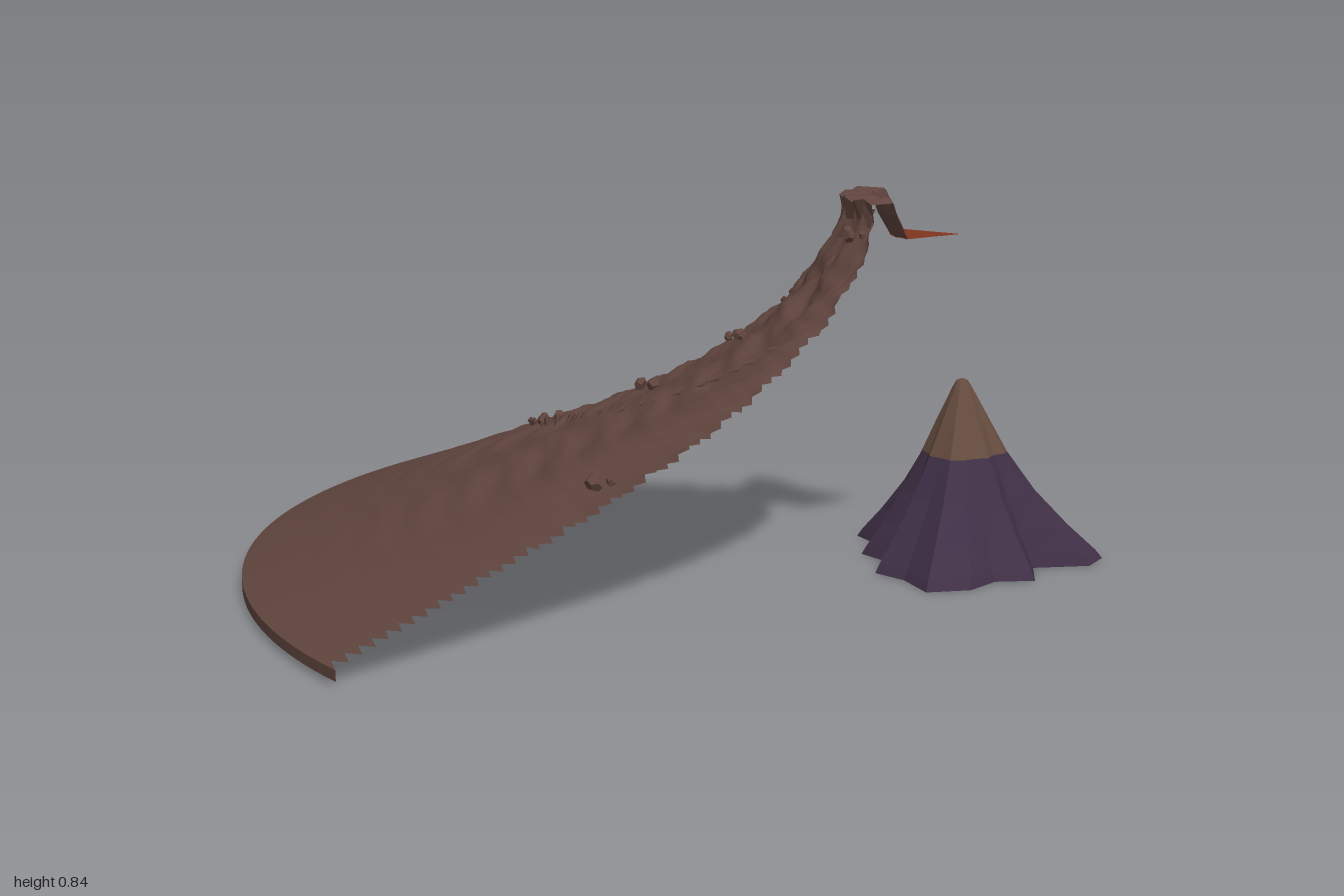
import * as THREE from 'three';

const CENTRE = 0.63, HALF = 0.648, TOOTH = 0.014;

const makeMat = (name, color) => {
  const m = new THREE.MeshStandardMaterial({ color, side: THREE.DoubleSide });
  m.name = name;
  return m;
};

// Grid surface from a rule fn(row, column) -> [x, y, z]
function surface(rows, cols, fn, flat = false) {
  const pos = [], idx = [];
  for (let i = 0; i <= rows; i++)
    for (let j = 0; j <= cols; j++) pos.push(...fn(i, j));
  for (let i = 0; i < rows; i++)
    for (let j = 0; j < cols; j++) {
      const a = i * (cols + 1) + j, b = a + cols + 1;
      idx.push(a, a + 1, b, b, a + 1, b + 1);
    }
  let g = new THREE.BufferGeometry();
  g.setAttribute('position', new THREE.Float32BufferAttribute(pos, 3));
  g.setIndex(idx);
  if (flat) g = g.toNonIndexed();
  g.computeVertexNormals();
  return g;
}

// Point of the wedge at radius r, angle a away from the -x direction
const polar = (r, a, y) => [CENTRE - r * Math.cos(a), y, r * Math.sin(a)];

// Slope height by radius, outer edge to crater
const PROFILE = [[1.61, 0.035], [1.42, 0.1], [1.23, 0.168], [1.03, 0.24], [0.83, 0.32],
  [0.63, 0.42], [0.53, 0.48], [0.43, 0.555], [0.35, 0.635], [0.3, 0.71], [0.268, 0.78], [0.255, 0.82]];
const curve = new THREE.CatmullRomCurve3(PROFILE.map(([r, y]) => new THREE.Vector3(r, y, 0)));

// Layered waves for the eroded rock; they fade out towards the foot
function relief(r, a) {
  const fade = THREE.MathUtils.smoothstep(1.6 - r, 0, 0.8);
  const gully = Math.sin(a * 17 + Math.sin(r * 9) * 1.3) * 0.005;
  const ledge = Math.sin(r * 62 + Math.sin(a * 13) * 2 + a * 5) * 0.005;
  const grain = Math.sin(r * 120 + a * 33) * Math.sin(a * 47 - r * 30) * 0.003;
  return fade * (gully + ledge + grain);
}

function slopeHeight(r) {
  for (let i = 1; i < PROFILE.length; i++) {
    const [r0, y0] = PROFILE[i - 1], [r1, y1] = PROFILE[i];
    if (r >= r1) return y0 + (y1 - y0) * (r0 - r) / (r0 - r1);
  }
  return 0.82;
}

export function createModel() {
  const model = new THREE.Group();
  const rock = makeMat('brown rock', 0x5f443d);
  const peakRock = makeMat('tan peak rock', 0x664c3f);
  const purple = makeMat('purple rock', 0x403047);
  const lava = makeMat('red lava', 0x80341f);
  const add = (name, geo, mat, parent = model) => {
    const m = new THREE.Mesh(geo, mat);
    m.name = name;
    parent.add(m);
    return m;
  };

  // Wedge of the large volcano with saw-toothed cut edges
  const volcano = new THREE.Group();
  volcano.name = 'volcanoWedge';
  model.add(volcano);
  const ROWS = 104, COLS = 80;
  add('slope', surface(ROWS, COLS, (i, j) => {
    const p = curve.getPointAt(i / ROWS);
    const edge = HALF + (i % 2 ? -TOOTH : TOOTH);
    const s = j / COLS * 2 - 1;
    const a = s * (Math.abs(s) === 1 ? edge : HALF - TOOTH);
    const n = i === 0 ? 0 : relief(p.x, a);
    const steep = THREE.MathUtils.smoothstep(0.6 - p.x, 0, 0.3);
    return polar(p.x + n * steep * 1.6, a, p.y + n * (1 - steep * 0.6));
  }), rock, volcano);

  // Short upright skirt round the foot
  add('footSkirt', surface(1, 48, (i, j) =>
    polar(1.61, (j / 24 - 1) * (HALF + TOOTH), i ? 0.035 : 0.012)), rock, volcano);

  // Chunky crater lip and its sloping inner wall
  const LIP = [[0.285, 0.75], [0.262, 0.79], [0.268, 0.835], [0.2, 0.835], [0.185, 0.8], [0.155, 0.747]];
  add('craterLip', surface(LIP.length - 1, 12, (i, j) => {
    const a = (j / 6 - 1) * HALF, [r, y] = LIP[i];
    const top = i === 2 || i === 3;
    return polar(r + Math.sin(j * 2.4 + i) * 0.005, a, y + (top ? Math.sin(j * 1.9) * 0.007 : 0));
  }, true), rock, volcano);

  // Flat lava sector in the crater
  add('lavaPool', surface(1, 8, (i, j) =>
    polar(i ? 0.001 : 0.16, (j / 4 - 1) * HALF, 0.748)), lava, volcano);

  // Loose rock clusters on the slope: x, z, size
  const ROCKS = [[-0.32, -0.32, 0.024], [-0.07, -0.09, 0.022], [-0.16, 0.48, 0.024],
    [0.39, 0.14, 0.02], [0.12, -0.38, 0.016], [0.13, -0.06, 0.02], [0.4, -0.17, 0.016]];
  ROCKS.forEach(([x, z, s], k) => {
    const r = Math.hypot(CENTRE - x, z);
    for (let n = 0; n < 3; n++) {
      const m = add('boulder', new THREE.DodecahedronGeometry(s * (0.75 - n * 0.13)), rock, volcano);
      m.position.set(x + Math.cos(n * 2.1 + k) * s, slopeHeight(r) + 0.006, z + Math.sin(n * 2.1 + k) * s);
      m.scale.y = 1.3;
      m.rotation.set(k, n, k + n);
    }
  });

  // Thin slanted rock ledges
  for (let k = 0; k < 22; k++) {
    const r = 0.34 + (k * 0.618 % 1) * 0.75, a = ((k * 0.382 + 0.13) % 1 * 2 - 1) * 0.55;
    const m = add('ledge', new THREE.ConeGeometry(0.011, 0.07 + (k % 4) * 0.015, 4), rock, volcano);
    m.position.set(...polar(r, a, slopeHeight(r) + 0.004));
    m.rotation.set(Math.PI / 2, 0, a + 0.2);
    m.scale.x = 0.8;
  }

  // Small inner cone: lobed foot that narrows to a rounder peak
  const FOOT = [[-.22, -.2], [-.1, -.23], [-.01, -.27], [.03, -.22], [.07, -.17], [.15, -.19], [.23, -.19],
    [.25, -.1], [.33, 0], [.29, .07], [.16, .09], [.15, .2], [.06, .21], [0, .28], [-.1, .3],
    [-.14, .2], [-.2, .14], [-.16, .05], [-.22, -.03], [-.17, -.1]];
  // Rings: height, share of the foot outline, roundness
  const ring = (levels) => surface(levels.length - 1, FOOT.length, (i, j) => {
    const [x, z] = FOOT[j % FOOT.length], [y, s, round] = levels[i];
    const k = s * (1 - round + round * 0.25 / Math.hypot(x, z));
    return [0.64 + x * k, y, z * k];
  }, true);
  const cone = new THREE.Group();
  cone.name = 'innerCone';
  model.add(cone);
  const band = [0.25, 0.37, 0.55];
  add('coneFoot', ring([[0, 1, 0], [0.02, 0.95, 0], [0.08, 0.77, 0.1], [0.16, 0.56, 0.3], band]), purple, cone);
  add('conePeak', ring([band, [0.33, 0.22, 0.65], [0.4, 0.085, 0.8], [0.415, 0.05, 1], [0.42, 0, 1]]), peakRock, cone);

  return model;
}
